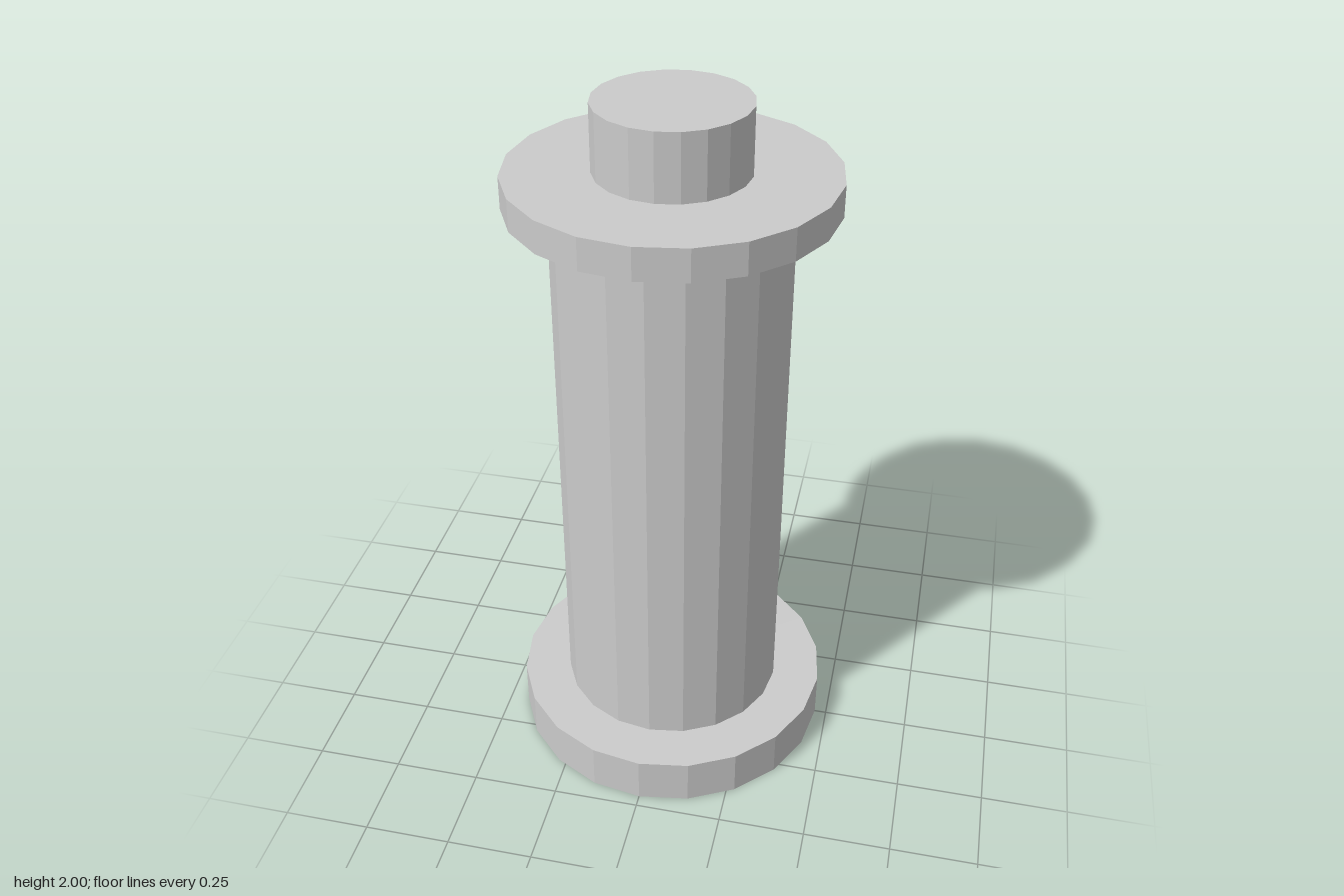
import * as THREE from 'three';

const SIDES = 20;

export function createModel() {
  const group = new THREE.Group();
  const material = new THREE.MeshStandardMaterial({ color: 0xcccccc, flatShading: true });

  // Upright faceted disc or column between two heights
  function addCylinder(name, radius, bottom, top) {
    const geometry = new THREE.CylinderGeometry(radius, radius, top - bottom, SIDES);
    const mesh = new THREE.Mesh(geometry, material);
    mesh.name = name;
    mesh.position.y = (bottom + top) / 2;
    group.add(mesh);
  }

  addCylinder('base', 0.465, 0, 0.14);
  addCylinder('column', 0.325, 0.14, 1.725);
  addCylinder('collar', 0.442, 1.725, 1.815);
  addCylinder('topPeg', 0.209, 1.815, 2);

  return group;
}
